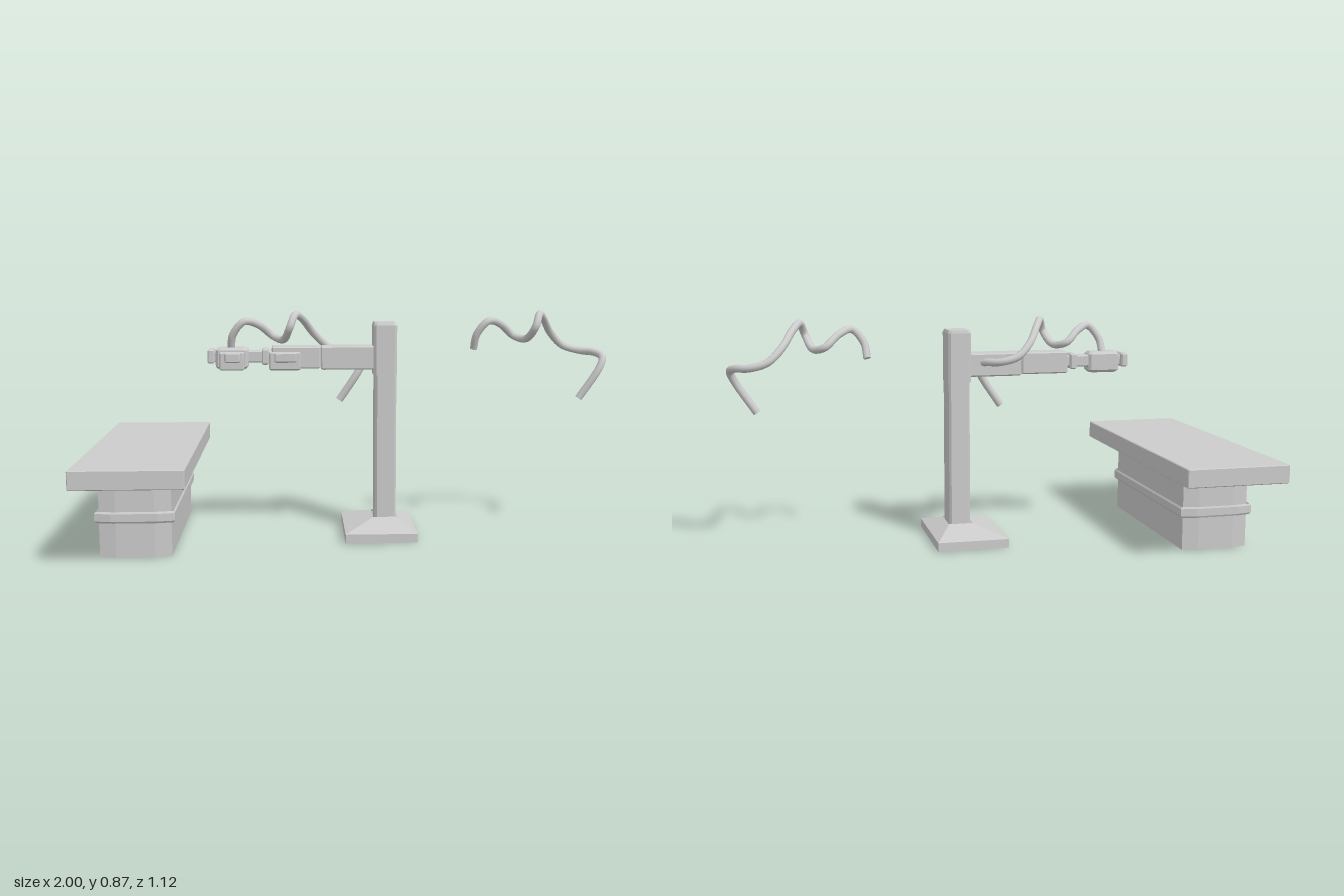
import * as THREE from 'three';

const grey = new THREE.MeshStandardMaterial({ color: 0xcccccc, side: THREE.DoubleSide, flatShading: true });
const smoothGrey = new THREE.MeshStandardMaterial({ color: 0xcccccc });

// Rectangle with cut corners at height y; cx and cz are the cuts along x and z
function ring([y, x0, x1, z0, z1], cx, cz) {
  return [
    [x0 + cx, z1], [x1 - cx, z1], [x1, z1 - cz], [x1, z0 + cz],
    [x1 - cx, z0], [x0 + cx, z0], [x0, z0 + cz], [x0, z1 - cz],
  ].map(([x, z]) => [x, y, z]);
}

// Skin stacked rings from bottom to top, closing the ends if asked
function loft(name, levels, { cx = 0.004, cz = cx, bottom = true, top = true } = {}) {
  const rings = levels.map((l) => ring(l, cx, cz));
  const pos = [];
  const tri = (a, b, c) => pos.push(...a, ...b, ...c);
  for (let i = 0; i < rings.length - 1; i++) {
    const lo = rings[i], hi = rings[i + 1];
    for (let j = 0; j < 8; j++) {
      const k = (j + 1) % 8;
      tri(lo[j], lo[k], hi[k]);
      tri(lo[j], hi[k], hi[j]);
    }
  }
  const first = rings[0], last = rings[rings.length - 1];
  for (let j = 1; j < 7; j++) {
    if (top) tri(last[0], last[j], last[j + 1]);
    if (bottom) tri(first[0], first[j + 1], first[j]);
  }
  const geo = new THREE.BufferGeometry();
  geo.setAttribute('position', new THREE.Float32BufferAttribute(pos, 3));
  geo.computeVertexNormals();
  const mesh = new THREE.Mesh(geo, grey);
  mesh.name = name;
  return mesh;
}

// Block from its bounds with bevelled edges
function block(name, x0, x1, y0, y1, z0, z1, b = 0.005) {
  return loft(name, [
    [y0, x0 + b, x1 - b, z0 + b, z1 - b],
    [y0 + b, x0, x1, z0, z1],
    [y1 - b, x0, x1, z0, z1],
    [y1, x0 + b, x1 - b, z0 + b, z1 - b],
  ], { cx: b });
}

function createTable() {
  const table = new THREE.Group();
  table.name = 'table';
  table.add(
    block('tableTop', -1, -0.6, 0.285, 0.355, -0.56, 0.56, 0.003),
    // Hollow pedestal with slightly bowed ends
    loft('pedestal', [[0, -0.93, -0.67, -0.372, 0.375], [0.287, -0.93, -0.67, -0.372, 0.375]],
      { cx: 0.06, cz: 0.012, bottom: false, top: false }),
    loft('pedestalBand', [
      [0.127, -0.938, -0.662, -0.38, 0.382],
      [0.134, -0.945, -0.657, -0.383, 0.386],
      [0.162, -0.945, -0.657, -0.383, 0.386],
      [0.169, -0.938, -0.662, -0.38, 0.382],
    ], { cx: 0.06, cz: 0.012, bottom: false, top: false }),
  );
  return table;
}

function createStand() {
  const stand = new THREE.Group();
  stand.name = 'stand';
  stand.add(
    // Hollow foot sloping up to the column
    loft('foot', [
      [0, -0.035, 0.24, -0.18, 0.218],
      [0.034, -0.035, 0.24, -0.18, 0.218],
      [0.07, 0.078, 0.172, -0.044, 0.084],
    ], { cx: 0.001, bottom: false, top: false }),
    loft('column', [[0.03, 0.086, 0.168, -0.041, 0.078], [0.63, 0.086, 0.168, -0.041, 0.078]], { cx: 0.008 }),
    loft('columnHead', [
      [0.625, 0.08, 0.17, -0.043, 0.082],
      [0.815, 0.08, 0.17, -0.043, 0.082],
      [0.826, 0.085, 0.165, -0.04, 0.076],
    ], { cx: 0.01 }),
  );
  return stand;
}

// Raised panel on the front of an arm section, with a frame and a window
function createPanel(x0, x1) {
  const panel = new THREE.Group();
  panel.name = 'controlPanel';
  panel.add(
    block('panelFrame', x0, x1, 0.645, 0.715, 0.045, 0.075),
    block('panelWindow', x0 + 0.02, x1 - 0.015, 0.675, 0.713, 0.06, 0.085),
  );
  return panel;
}

function createArm() {
  const arm = new THREE.Group();
  arm.name = 'arm';
  arm.add(
    block('upperArm', -0.122, 0.085, 0.645, 0.735, -0.03, 0.06),
    block('middleArm', -0.31, -0.125, 0.65, 0.735, -0.03, 0.06),
    block('wristRing', -0.348, -0.322, 0.665, 0.725, -0.03, 0.06),
    block('wrist', -0.41, -0.3, 0.672, 0.718, -0.012, 0.042),
    block('forearm', -0.525, -0.4, 0.648, 0.73, -0.022, 0.055, 0.01),
    block('endNeck', -0.545, -0.515, 0.675, 0.718, -0.015, 0.045),
    block('endCap', -0.556, -0.53, 0.67, 0.724, -0.037, 0.052),
    createPanel(-0.32, -0.2),
    createPanel(-0.51, -0.415),
  );
  return arm;
}

// Looping hose, drawn at its right-hand position and shifted by dx
function createHose(dx) {
  const hose = new THREE.Group();
  hose.name = 'hose';
  const curve = new THREE.CatmullRomCurve3([
    [0.473, 0.722, 0.02], [0.482, 0.78, 0.042], [0.525, 0.83, 0.05], [0.58, 0.815, 0.01],
    [0.635, 0.77, -0.02], [0.675, 0.76, 0.03], [0.7, 0.81, 0.092], [0.72, 0.855, 0.06],
    [0.75, 0.835, 0], [0.795, 0.775, -0.065], [0.85, 0.725, -0.092], [0.915, 0.705, -0.08],
    [0.965, 0.7, -0.03], [0.984, 0.685, 0.015], [0.968, 0.645, 0.033], [0.89, 0.525, 0.028],
  ].map((p) => new THREE.Vector3(...p)));
  const radius = 0.0145;
  const tube = new THREE.Mesh(new THREE.TubeGeometry(curve, 110, radius, 12), smoothGrey);
  tube.name = 'hoseTube';
  hose.add(tube);
  for (const t of [0, 1]) {
    const cap = new THREE.Mesh(new THREE.CircleGeometry(radius, 12), smoothGrey);
    cap.name = 'hoseEnd';
    const end = curve.getPointAt(t);
    cap.position.copy(end);
    cap.lookAt(end.clone().addScaledVector(curve.getTangentAt(t), t ? 1 : -1));
    hose.add(cap);
  }
  hose.position.x = dx;
  return hose;
}

export function createModel() {
  const model = new THREE.Group();
  model.name = 'treatmentStation';
  model.add(createTable(), createStand(), createArm(), createHose(0), createHose(-0.94));
  return model;
}
